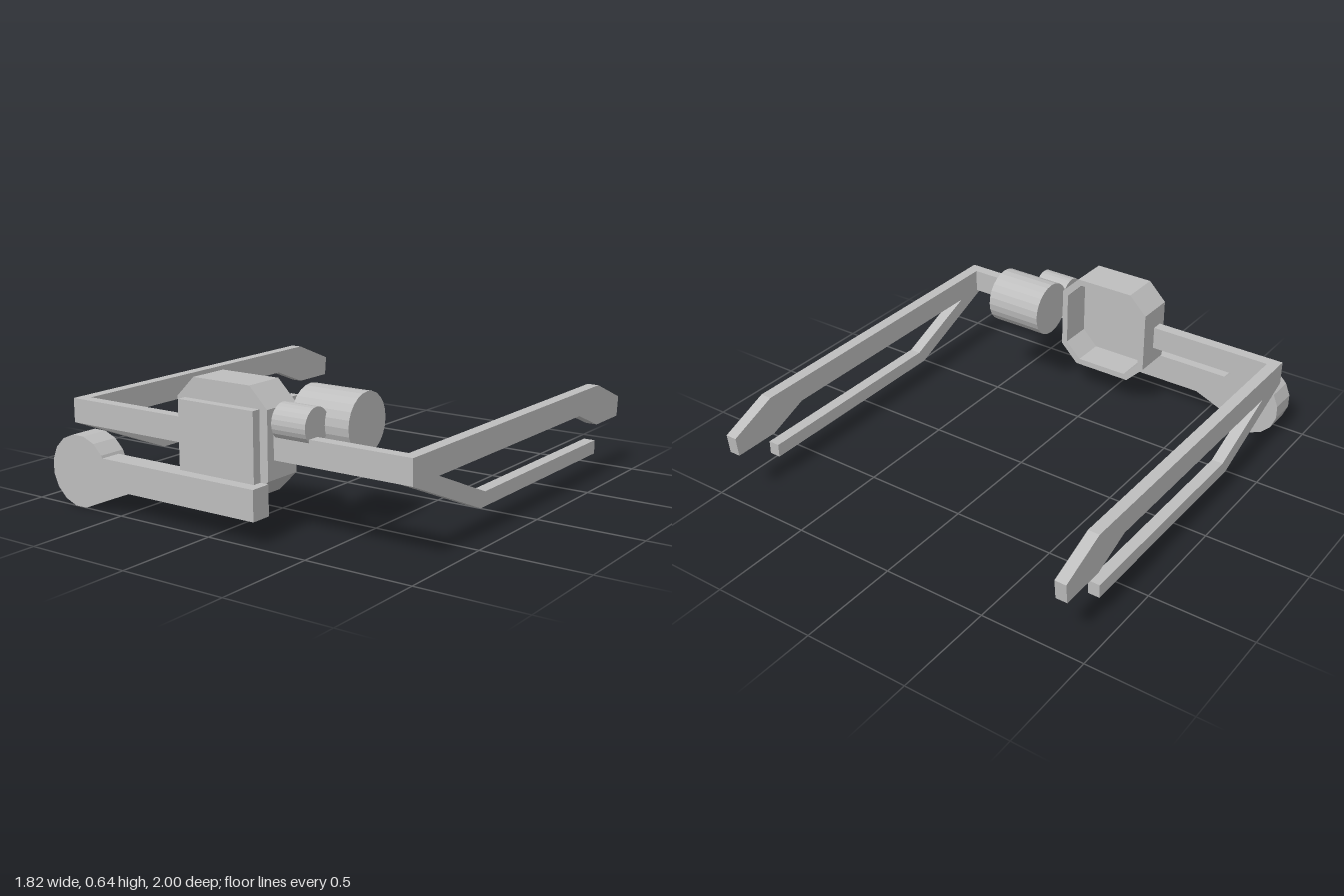
import * as THREE from 'three';

export function createModel() {
  const model = new THREE.Group();
  model.name = 'headset';
  const grey = new THREE.MeshStandardMaterial({ color: 0xbebebe, flatShading: true });
  grey.name = 'grey';

  const add = (name, geometry, x = 0, y = 0, z = 0) => {
    const mesh = new THREE.Mesh(geometry, grey);
    mesh.name = name;
    mesh.position.set(x, y, z);
    model.add(mesh);
    return mesh;
  };
  const box = (name, x0, x1, y0, y1, z0, z1) =>
    add(name, new THREE.BoxGeometry(x1 - x0, y1 - y0, z1 - z0),
      (x0 + x1) / 2, (y0 + y1) / 2, (z0 + z1) / 2);
  const shapeOf = (points) => new THREE.Shape(points.map(([x, y]) => new THREE.Vector2(x, y)));
  const extrude = (shape, depth) =>
    new THREE.ExtrudeGeometry(shape, { depth, bevelEnabled: false });

  // Forked side arms, profile drawn as (z, y)
  const armProfile = shapeOf([
    [0.86, 0.345], [0.86, 0.458], [-0.765, 0.458], [-1, 0.362], [-0.99, 0.267],
    [-0.765, 0.267], [-0.57, 0.345], [0.67, 0.345], [0.3, 0.193], [-0.75, 0.193],
    [-0.75, 0.128], [0.335, 0.128],
  ]);
  for (const [name, x] of [['leftArm', 0.91], ['rightArm', -0.855]]) {
    add(name, extrude(armProfile, 0.055), x).rotation.y = -Math.PI / 2;
  }

  // Brow bar on each side of the housing
  box('leftBrowBar', 0.23, 0.856, 0.345, 0.458, 0.805, 0.86);
  box('rightBrowBar', -0.856, -0.23, 0.345, 0.458, 0.805, 0.86);

  // Chamfered housing, hollow at the back
  const octagon = (half, chamfer) => {
    const c = half - chamfer;
    return [[c, -half], [half, -c], [half, c], [c, half], [-c, half], [-half, c], [-half, -c], [-c, -half]];
  };
  const rim = shapeOf(octagon(0.24, 0.09));
  rim.holes.push(shapeOf(octagon(0.21, 0.078)));
  add('housingWall', extrude(rim, 0.16), 0, 0.412, 0.71);
  add('housingFront', extrude(shapeOf(octagon(0.24, 0.09)), 0.03), 0, 0.412, 0.87);
  box('frontPlate', -0.2, 0.2, 0.25, 0.56, 0.9, 0.942);

  // Lower boom that widens into a round pod
  const boom = shapeOf([
    [0.242, 0.117], [0.242, 0.253], [-0.6, 0.253], [-0.75, 0.2], [-0.71, 0.012], [-0.45, 0.117],
  ]);
  add('boom', extrude(boom, 0.1), 0, 0, 0.9);
  const pod = new THREE.CylinderGeometry(0.166, 0.166, 0.135, 16);
  pod.rotateY(Math.PI / 16).rotateX(Math.PI / 2);
  add('pod', pod, -0.745, 0.172, 0.9325);

  // Two drums beside the housing
  const drum = (name, r, x0, x1, y, z) =>
    add(name, new THREE.CylinderGeometry(r, r, x1 - x0, 24).rotateZ(Math.PI / 2), (x0 + x1) / 2, y, z);
  drum('largeDrum', 0.133, 0.25, 0.537, 0.495, 0.622);
  drum('smallDrum', 0.08, 0.25, 0.42, 0.503, 0.808);

  return model;
}
